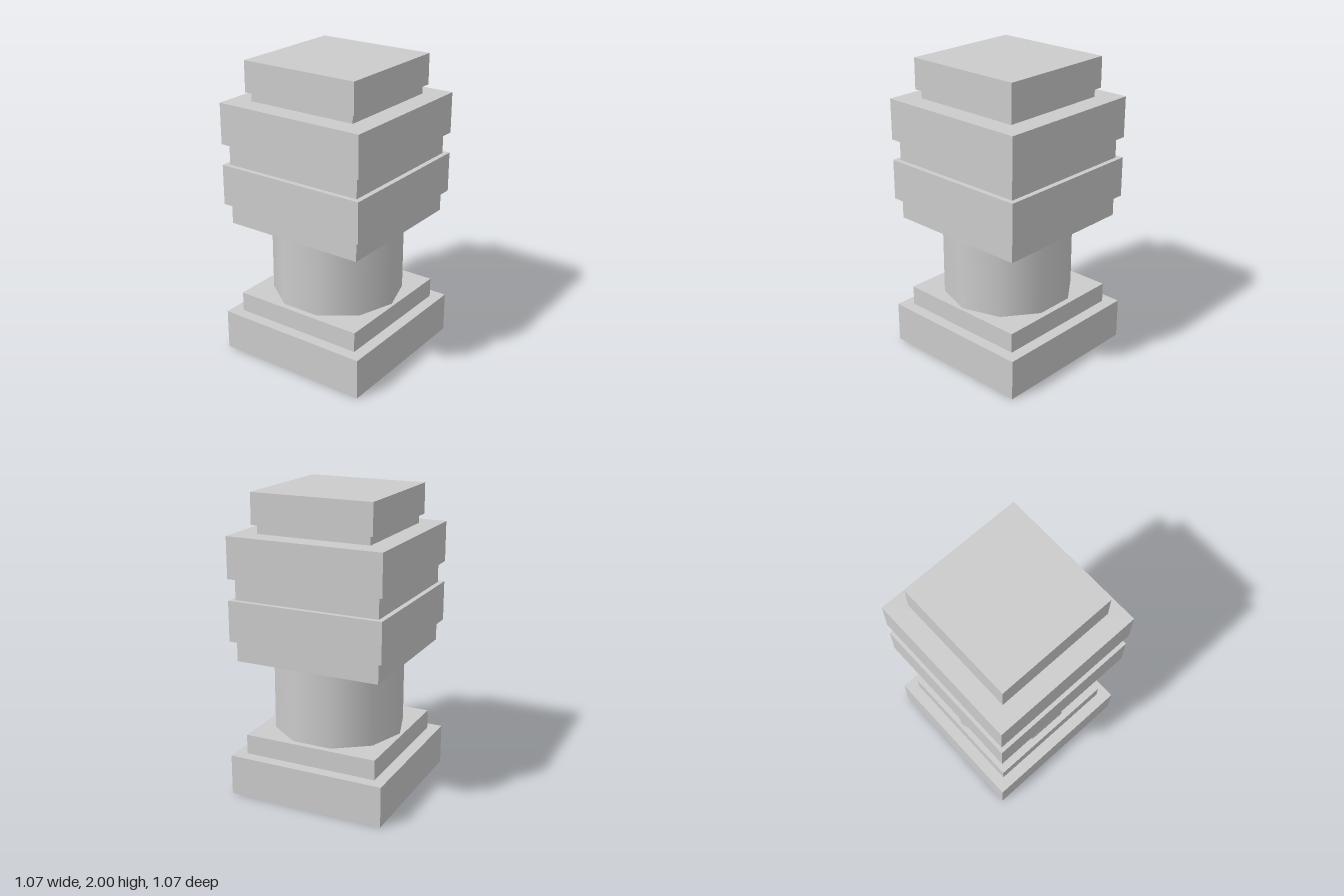
import * as THREE from 'three';

export function createModel() {
  const model = new THREE.Group();
  const material = new THREE.MeshStandardMaterial({ color: 0xcccccc });

  function add(name, geometry, bottom, top) {
    const mesh = new THREE.Mesh(geometry, material);
    mesh.name = name;
    mesh.position.y = (bottom + top) / 2;
    model.add(mesh);
  }

  // Square slabs: name, half width, bottom, top
  const slabs = [
    ['base', 0.535, 0, 0.273],
    ['baseStep', 0.458, 0.273, 0.406],
    ['lowerNeck', 0.49, 0.923, 1.06],
    ['lowerBlock', 0.524, 1.06, 1.328],
    ['upperNeck', 0.49, 1.328, 1.467],
    ['upperBlock', 0.524, 1.467, 1.738],
    ['capNeck', 0.384, 1.738, 1.797],
    ['cap', 0.411, 1.797, 2],
  ];
  for (const [name, half, bottom, top] of slabs) {
    add(name, new THREE.BoxGeometry(half * 2, top - bottom, half * 2), bottom, top);
  }

  // Ten-sided, smooth-shaded column between the base and the slabs
  add('column', new THREE.CylinderGeometry(0.437, 0.437, 0.517, 10), 0.406, 0.923);

  return model;
}
